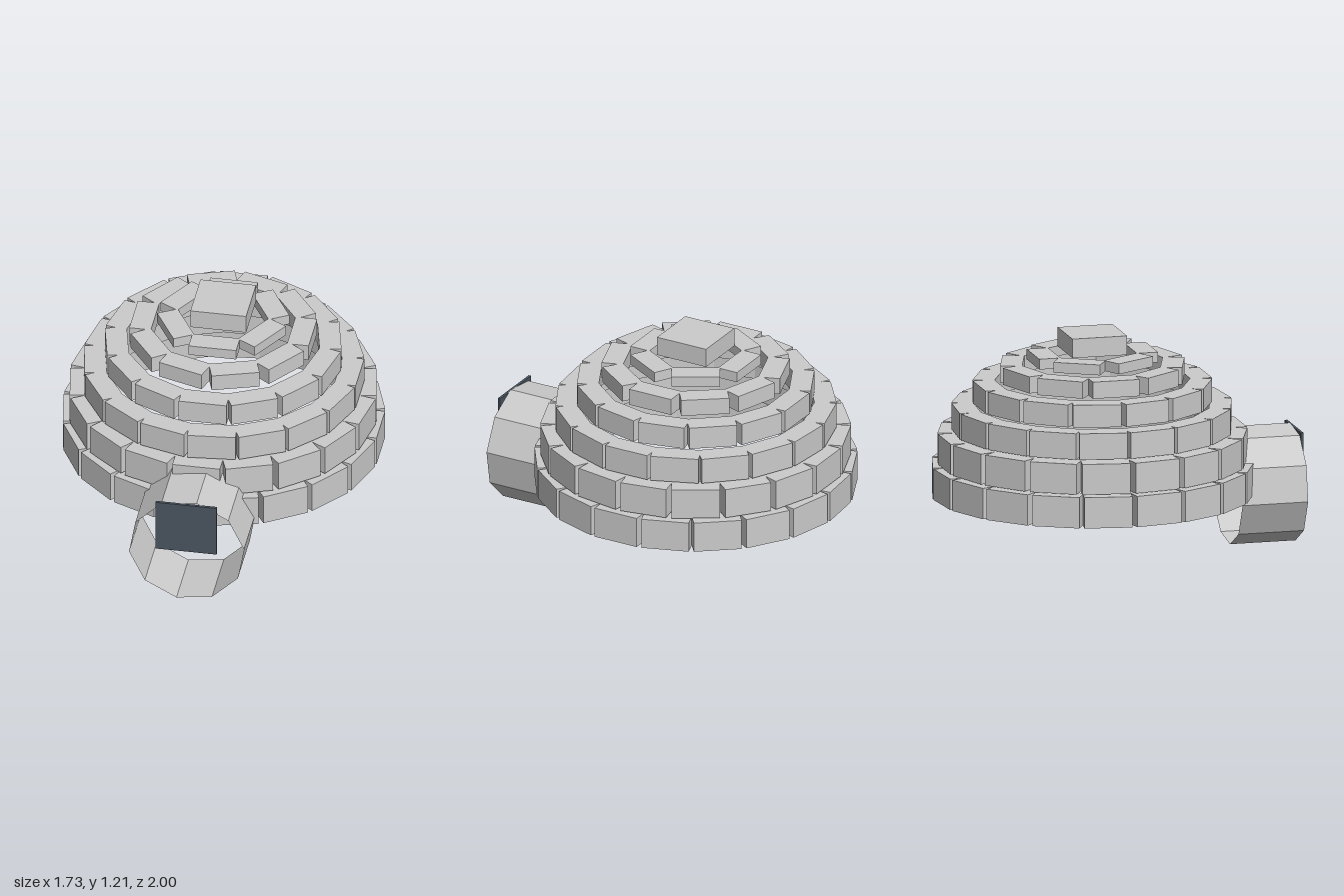
import * as THREE from 'three';

const CENTRE_Z = -0.132; // dome axis
const BLOCK_WIDTH = 0.26;
const BLOCK_DEPTH = 0.118;

// Courses from the ground up; staggered ones turn by half a block
const COURSES = [
  { count: 19, radius: 0.861, bottom: 0.32, top: 0.49 },
  { count: 18, radius: 0.825, bottom: 0.498, top: 0.665, staggered: true },
  { count: 17, radius: 0.747, bottom: 0.673, top: 0.816 },
  { count: 14, radius: 0.631, bottom: 0.824, top: 0.947, staggered: true },
  { count: 10, radius: 0.49, bottom: 0.953, top: 1.045 },
  { count: 6, radius: 0.331, bottom: 1.048, top: 1.105, staggered: true },
];

export function createModel() {
  const model = new THREE.Group();
  model.name = 'igloo';
  const snow = new THREE.MeshStandardMaterial({ color: 0xcccccc, flatShading: true });
  const shell = new THREE.MeshStandardMaterial({ color: 0xcccccc, flatShading: true, side: THREE.DoubleSide });
  const dark = new THREE.MeshStandardMaterial({ color: 0x4a5560 });

  const add = (parent, name, geometry, material, x, y, z) => {
    const mesh = new THREE.Mesh(geometry, material);
    mesh.name = name;
    mesh.position.set(x, y, z);
    parent.add(mesh);
    return mesh;
  };

  // Dome: stepped rings of upright snow blocks
  const dome = new THREE.Group();
  dome.name = 'dome';
  dome.position.z = CENTRE_Z;
  model.add(dome);
  COURSES.forEach(({ count, radius, bottom, top, staggered }, row) => {
    const course = new THREE.Group();
    course.name = `blockCourse${row + 1}`;
    dome.add(course);
    const block = new THREE.BoxGeometry(BLOCK_DEPTH, top - bottom, BLOCK_WIDTH);
    const r = radius - BLOCK_DEPTH / 2;
    for (let i = 0; i < count; i++) {
      const a = ((i + (staggered ? 0.5 : 0)) / count) * Math.PI * 2;
      const mesh = add(course, 'snowBlock', block, snow, r * Math.cos(a), (bottom + top) / 2, r * Math.sin(a));
      mesh.rotation.y = -a;
    }
  });

  // Cap block closing the top
  add(dome, 'capBlock', new THREE.BoxGeometry(0.304, 0.105, 0.304), snow, 0, 1.1575, 0);

  // Entrance tunnel: thin open ten-sided tube, rolled 10 degrees
  const tube = new THREE.CylinderGeometry(0.317, 0.317, 0.365, 10, 1, true);
  tube.rotateX(-Math.PI / 2);
  tube.rotateZ(-THREE.MathUtils.degToRad(10));
  add(model, 'entranceTunnel', tube, shell, 0, 0.317, 0.8025);

  // Dark door panel across the upper half of the tunnel mouth
  add(model, 'doorPanel', new THREE.BoxGeometry(0.334, 0.3, 0.015), dark, 0, 0.47, 0.9925);

  return model;
}
